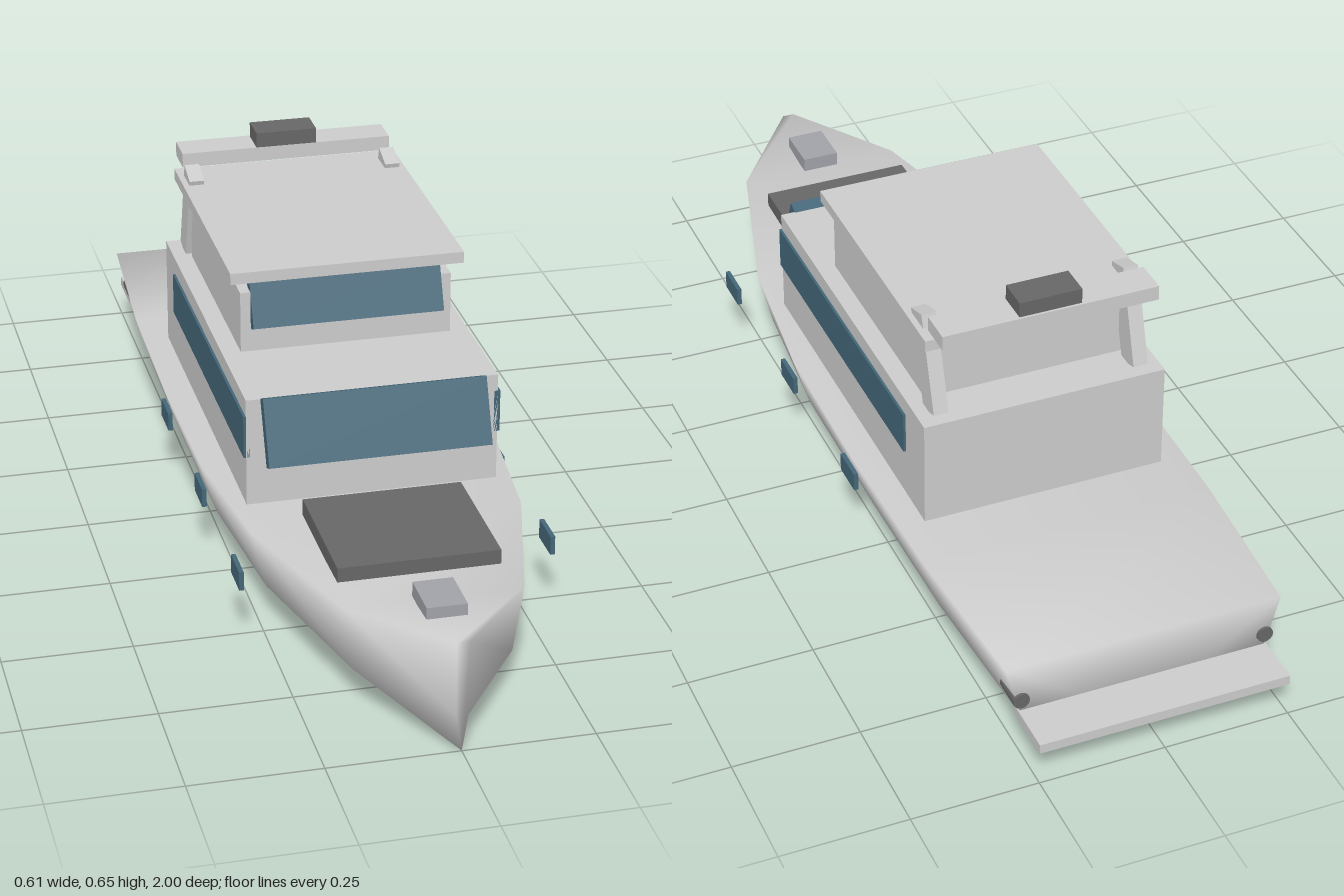
import * as THREE from 'three';

const mat = (color, extra = {}) => new THREE.MeshStandardMaterial({ color, ...extra });
const grey = mat(0xcccccc);
const midGrey = mat(0xa0a2a8);
const dark = mat(0x666666);
const glass = mat(0x446677);

// Box given by its extents on each axis
function block(name, material, [x0, x1], [y0, y1], [z0, z1]) {
  const mesh = new THREE.Mesh(new THREE.BoxGeometry(x1 - x0, y1 - y0, z1 - z0), material);
  mesh.position.set((x0 + x1) / 2, (y0 + y1) / 2, (z0 + z1) / 2);
  mesh.name = name;
  return mesh;
}

// Box leaning about the x axis, placed by its centre
function leaning(name, material, size, position, angle) {
  const mesh = new THREE.Mesh(new THREE.BoxGeometry(...size), material);
  mesh.position.set(...position);
  mesh.rotation.x = angle;
  mesh.name = name;
  return mesh;
}

// V-bottom hull lofted through five-point sections, with shared smooth normals
function hullGeometry() {
  // z, sheer half width, sheer height, chine half width
  const stations = [
    [-0.9, 0.275, 0.192, 0.242],
    [-0.55, 0.297, 0.189, 0.262],
    [-0.2, 0.303, 0.186, 0.266],
    [0.15, 0.298, 0.185, 0.264],
    [0.46, 0.264, 0.19, 0.235],
    [0.8, 0.17, 0.203, 0.15],
    [1.0, 0.012, 0.221, 0.011],
  ];
  const chineY = 0.073, n = 5, positions = [], index = [];
  for (const [z, sheer, sheerY, chine] of stations) {
    positions.push(0, 0, z, chine, chineY, z, sheer, sheerY, z, -sheer, sheerY, z, -chine, chineY, z);
  }
  for (let s = 0; s < stations.length - 1; s++) {
    for (let i = 0; i < n; i++) {
      const a = s * n + i, b = s * n + (i + 1) % n;
      index.push(a, b, b + n, a, b + n, a + n);
    }
  }
  // Transom and stem caps
  const bow = (stations.length - 1) * n;
  for (let i = 1; i < n - 1; i++) {
    index.push(0, i + 1, i, bow, bow + i, bow + i + 1);
  }
  const geometry = new THREE.BufferGeometry();
  geometry.setAttribute('position', new THREE.Float32BufferAttribute(positions, 3));
  geometry.setIndex(index);
  geometry.computeVertexNormals();
  return geometry;
}

export function createModel() {
  const boat = new THREE.Group();
  boat.name = 'motorBoat';

  const hull = new THREE.Mesh(hullGeometry(), grey);
  hull.name = 'hull';
  boat.add(hull);

  // Deck fittings
  boat.add(
    block('swimPlatform', grey, [-0.25, 0.25], [0.07, 0.09], [-1.0, -0.885]),
    block('sunPad', dark, [-0.155, 0.155], [0.195, 0.228], [0.42, 0.7]),
    block('anchorLocker', midGrey, [-0.038, 0.038], [0.205, 0.234], [0.79, 0.89]),
  );

  // Cabins, windscreens and roof
  boat.add(
    block('lowerCabin', grey, [-0.247, 0.247], [0.19, 0.41], [-0.44, 0.345]),
    block('upperCabin', grey, [-0.21, 0.21], [0.41, 0.534], [-0.35, 0.13]),
    block('roof', grey, [-0.232, 0.232], [0.56, 0.583], [-0.41, 0.145]),
    leaning('lowerWindscreen', glass, [0.436, 0.132, 0.026], [0, 0.354, 0.379], -0.4),
    leaning('upperWindscreen', glass, [0.38, 0.097, 0.024], [0, 0.508, 0.128], -0.4),
  );

  // Radar arch bar and radar unit
  boat.add(
    block('archBar', grey, [-0.218, 0.218], [0.592, 0.622], [-0.46, -0.39]),
    block('radar', dark, [-0.063, 0.063], [0.622, 0.653], [-0.455, -0.39]),
  );

  // Mirrored parts
  for (const side of [-1, 1]) {
    const label = side > 0 ? 'left' : 'right';
    const span = (a, b) => (side > 0 ? [a, b] : [-b, -a]);
    boat.add(block(label + 'CabinWindow', glass, span(0.24, 0.252), [0.29, 0.376], [-0.345, 0.345]));
    boat.add(leaning(label + 'ArchStrut', grey, [0.03, 0.2, 0.055], [side * 0.205, 0.505, -0.365], 0.3));

    for (const z of [-0.178, 0.167, 0.512]) {
      boat.add(block(label + 'Porthole', glass, span(0.297, 0.306), [0.12, 0.158], [z - 0.037, z + 0.037]));
    }

    // Exhaust emerging where the hull narrows to the stern
    const exhaust = new THREE.Mesh(new THREE.CylinderGeometry(0.016, 0.016, 0.065, 16), dark);
    exhaust.rotation.x = Math.PI / 2;
    exhaust.position.set(side * 0.245, 0.115, -0.873);
    exhaust.name = label + 'Exhaust';
    boat.add(exhaust);
  }

  return boat;
}
